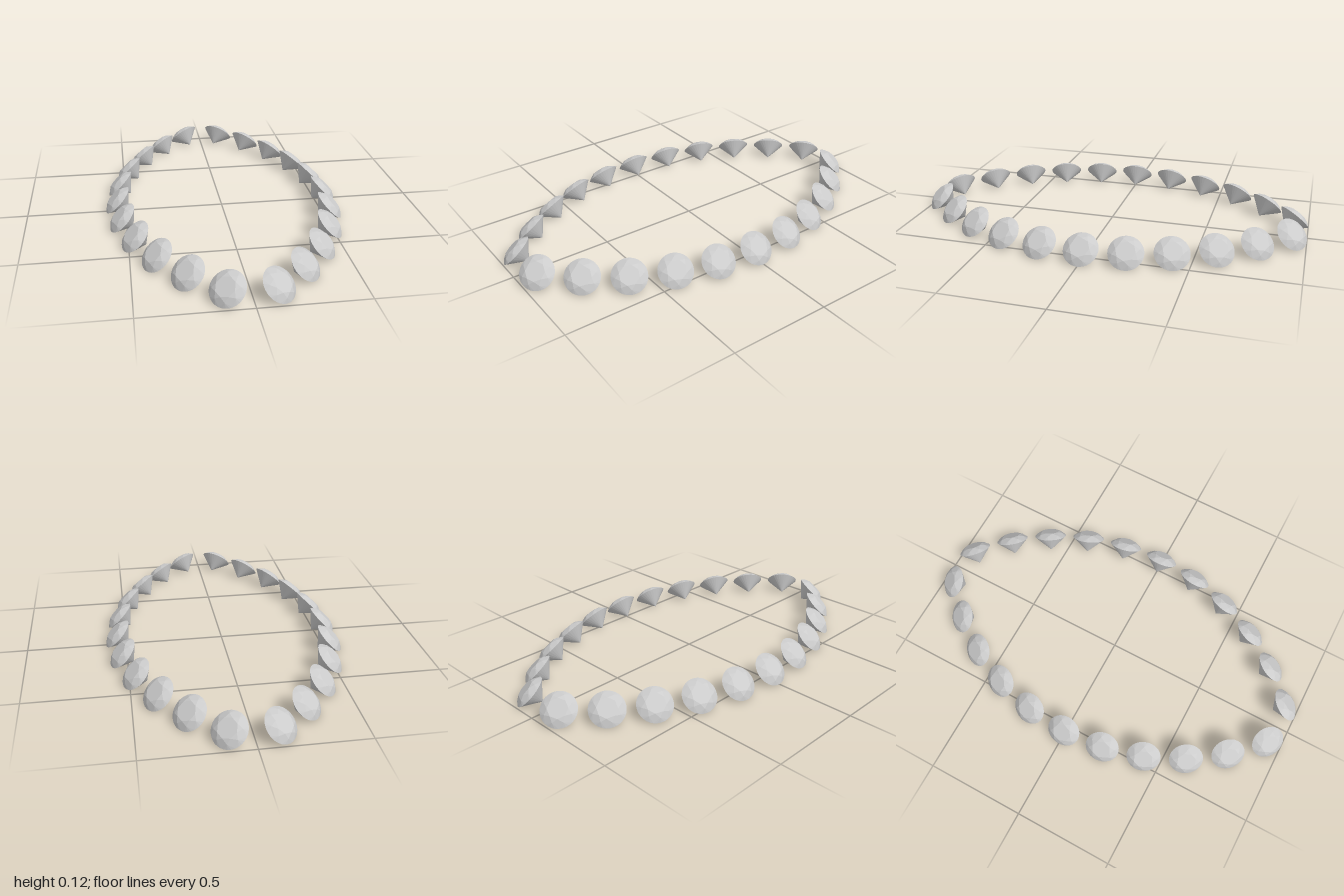
import * as THREE from 'three';

const R = 0.085;          // girdle radius
const CROWN = 0.026;      // table height above girdle
const PAVILION = 0.078;   // culet depth below girdle
const SIDES = 32;

// Brilliant-cut stone: axis +y, girdle at y = 0
function gemGeometry() {
  const pos = [];
  const ring = (r, y, a) => [r * Math.sin(a), y, r * Math.cos(a)];
  const tri = (...pts) => pts.forEach((p) => pos.push(...p));
  const step = Math.PI / 4;
  const table = (k) => ring(R * 0.56, CROWN, k * step);
  const mid = (k) => ring(R * 0.78, CROWN * 0.635, (k + 0.5) * step);
  const girdle = (i) => ring(R, 0, (i / SIDES) * Math.PI * 2);
  const per = SIDES / 8;

  for (let k = 0; k < 8; k++) {
    tri([0, CROWN, 0], table(k), table(k + 1));            // table
    tri(table(k), mid(k), table(k + 1));                   // star facet
    tri(table(k), mid(k - 1), girdle(k * per));            // kite facet
    tri(table(k), girdle(k * per), mid(k));
    for (let i = 0; i < per; i++) {                        // upper girdle facets
      tri(mid(k), girdle(k * per + i), girdle(k * per + i + 1));
    }
  }
  for (let i = 0; i < SIDES; i++) {                        // pavilion
    tri([0, -PAVILION, 0], girdle(i + 1), girdle(i));
  }
  const geo = new THREE.BufferGeometry();
  geo.setAttribute('position', new THREE.Float32BufferAttribute(pos, 3));
  geo.computeVertexNormals();
  return geo;
}

export function createModel() {
  const group = new THREE.Group();
  group.name = 'gemRing';
  const geo = gemGeometry();
  const mat = new THREE.MeshStandardMaterial({ color: 0xcccccc, flatShading: true });

  // Two mirrored arcs meeting in points at front and back, a stone every 10 degrees
  const arcR = 1.212, halfWidth = 0.542, up = new THREE.Vector3(0, 1, 0);
  for (const side of [1, -1]) {
    for (let i = -5; i <= 5; i++) {
      const a = THREE.MathUtils.degToRad(i * 10);
      const gem = new THREE.Mesh(geo, mat);
      gem.name = `${side > 0 ? 'left' : 'right'}Gem${i + 6}`;
      gem.position.set(side * (halfWidth - arcR * (1 - Math.cos(a))), 0.064, arcR * Math.sin(a));
      // Table faces outward and up at 45 degrees
      const axis = new THREE.Vector3(side * Math.cos(a), 1, Math.sin(a)).normalize();
      gem.quaternion.setFromUnitVectors(up, axis);
      group.add(gem);
    }
  }
  return group;
}
